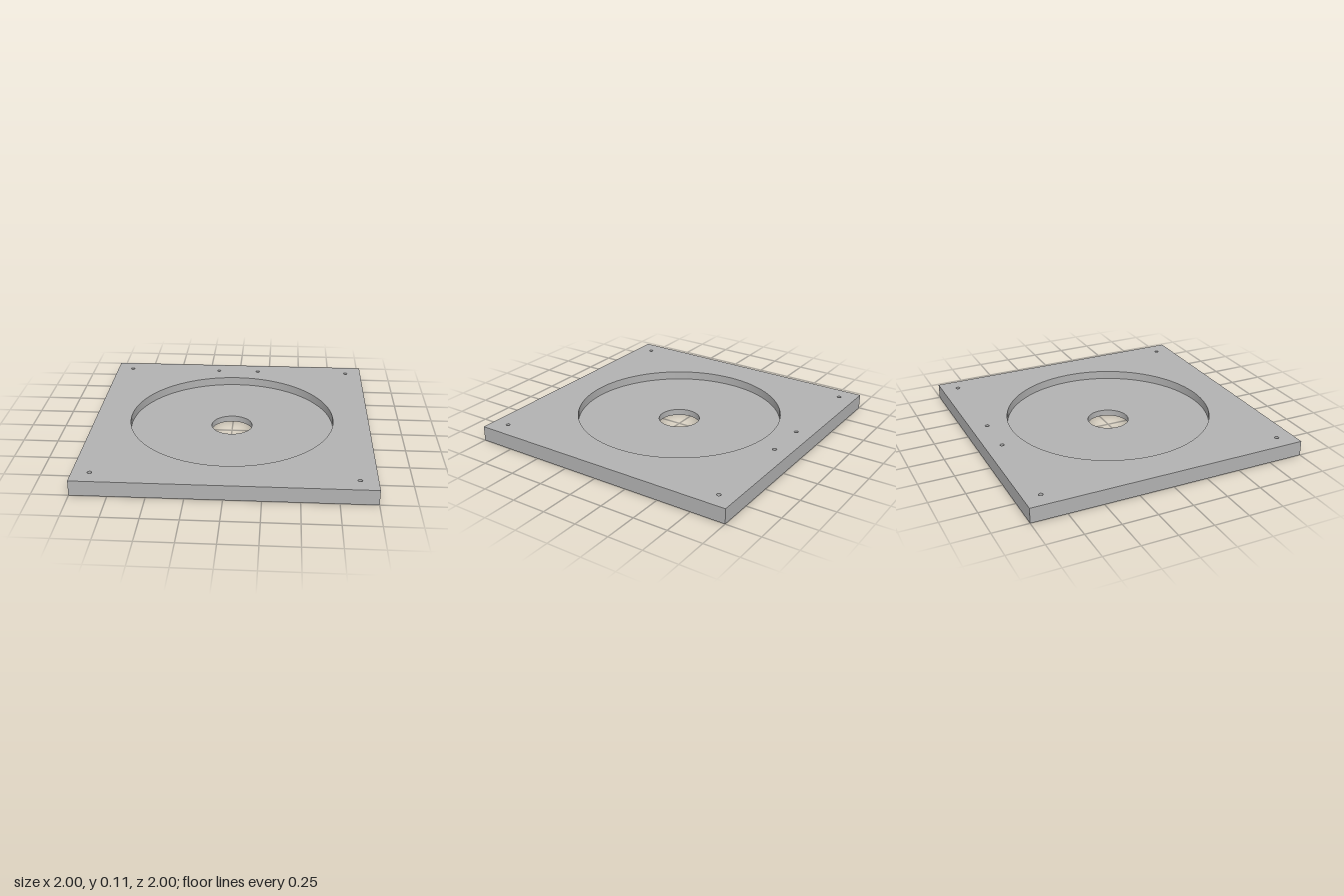
import * as THREE from 'three';

const HEIGHT = 0.107, FLOOR = 0.045;      // plate thickness, recess floor level
const RECESS_R = 0.742, BORE_R = 0.149, SCREW_R = 0.015;
const SEGMENTS = 96;
const SCREWS = [[-0.88, -0.88], [-0.16, -0.88], [0.16, -0.88], [0.88, -0.88], [-0.88, 0.88], [0.88, 0.88]];

export function createModel() {
  const group = new THREE.Group();
  const grey = new THREE.MeshStandardMaterial({ color: 0xb2b2b2 });
  grey.name = 'plate grey';

  function add(name, geometry, x = 0, y = 0, z = 0) {
    const mesh = new THREE.Mesh(geometry, grey);
    mesh.name = name;
    mesh.position.set(x, y, z);
    group.add(mesh);
    return mesh;
  }

  // Square face with the screw holes and one central opening; side is 1 for up, -1 for down
  function squareFace(side, openingRadius) {
    const shape = new THREE.Shape([[-1, -1], [1, -1], [1, 1], [-1, 1]].map(([x, y]) => new THREE.Vector2(x, y)));
    const cut = (x, y, r) => shape.holes.push(new THREE.Path().absarc(x, y, r, 0, Math.PI * 2, true));
    cut(0, 0, openingRadius);
    SCREWS.forEach(([x, z]) => cut(x, -side * z, SCREW_R));
    return new THREE.ShapeGeometry(shape, SEGMENTS / 2).rotateX(-side * Math.PI / 2);
  }

  // Surface of revolution between two profile points, with hard edges at both ends
  const ring = (r1, y1, r2, y2) =>
    new THREE.LatheGeometry([new THREE.Vector2(r1, y1), new THREE.Vector2(r2, y2)], SEGMENTS);

  add('topFace', squareFace(1, RECESS_R), 0, HEIGHT, 0);
  add('bottomFace', squareFace(-1, BORE_R));

  // Four outer edges
  for (let i = 0; i < 4; i++) {
    const edge = new THREE.PlaneGeometry(2, HEIGHT).translate(0, HEIGHT / 2, 1).rotateY(i * Math.PI / 2);
    add('outerEdge', edge);
  }

  // Round recess and central bore
  add('recessWall', ring(RECESS_R, HEIGHT, RECESS_R, FLOOR));
  add('recessFloor', ring(RECESS_R, FLOOR, BORE_R, FLOOR));
  add('boreWall', ring(BORE_R, FLOOR, BORE_R, 0));

  // Screw holes through the full thickness
  SCREWS.forEach(([x, z]) => add('screwHoleWall', ring(SCREW_R, HEIGHT, SCREW_R, 0), x, 0, z));

  return group;
}
